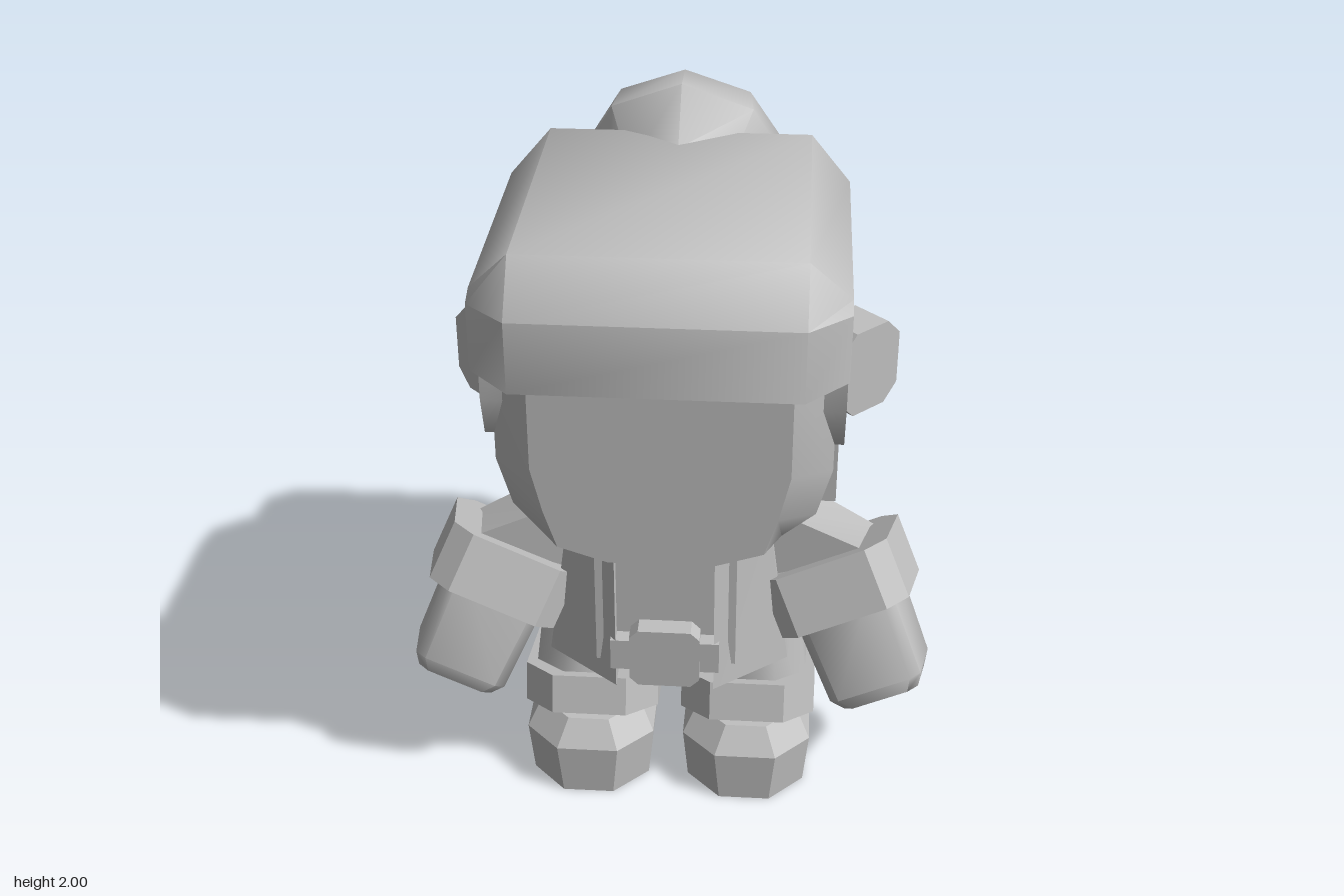
import * as THREE from 'three';
import { toCreasedNormals } from 'three/addons/utils/BufferGeometryUtils.js';

const V = (x, y, z) => new THREE.Vector3(x, y, z);
const grey = new THREE.MeshStandardMaterial({ color: 0xc0c0c0 });
grey.name = 'plain grey';

// Skin matching rings of points, cap both ends, turn the faces outward.
function loft(rings, outline, crease = 0.6) {
  const n = outline.length, tris = [];
  for (let i = 0; i + 1 < rings.length; i++) {
    const a = rings[i], b = rings[i + 1];
    for (let j = 0; j < n; j++) {
      const k = (j + 1) % n;
      tris.push([a[j], a[k], b[k]], [a[j], b[k], b[j]]);
    }
  }
  const flat = outline.map(([u, v]) => new THREE.Vector2(u, v));
  const sign = Math.sign(THREE.ShapeUtils.area(flat));
  const first = rings[0], last = rings[rings.length - 1];
  for (const f of THREE.ShapeUtils.triangulateShape(flat, [])) {
    const same = Math.sign(THREE.ShapeUtils.area(f.map((i) => flat[i]))) === sign;
    const [p, q, r] = same ? f : [f[0], f[2], f[1]];
    tris.push([last[p], last[q], last[r]], [first[p], first[r], first[q]]);
  }
  const volume = tris.reduce((s, [a, b, c]) => s + a.dot(V(0, 0, 0).crossVectors(b, c)), 0);
  const points = tris.flatMap(([a, b, c]) => (volume > 0 ? [a, b, c] : [a, c, b]));
  return toCreasedNormals(new THREE.BufferGeometry().setFromPoints(points), crease);
}

// Rectangle with cut corners, half sizes a and b, cut c.
const oct = (a, b, c) => [
  [a, -b + c], [a, b - c], [a - c, b], [-a + c, b],
  [-a, b - c], [-a, -b + c], [-a + c, -b], [a - c, -b],
];

// Sections [outline, level] placed in space by a rule.
function sections(list, place, crease) {
  return loft(list.map(([o, at]) => o.map(([u, v]) => place(u, v, at))), list[0][0], crease);
}

const mirrorOutline = (half) => [...half, ...half.map(([x, y]) => [-x, y]).reverse()];

export function createModel() {
  const model = new THREE.Group();
  model.name = 'figure';
  const add = (name, geometry) => {
    const mesh = new THREE.Mesh(geometry, grey);
    mesh.name = name;
    model.add(mesh);
  };

  // Head, widening behind the flat face
  const face = mirrorOutline([[0.34, 1.6], [0.34, 1.25], [0.31, 1.12], [0.275, 1.01], [0.14, 0.965]]);
  const skull = mirrorOutline([[0.45, 1.6], [0.45, 1.2], [0.41, 1.06], [0.32, 0.985], [0.14, 0.965]]);
  add('head', sections([[face, 0.6], [skull, 0.47], [skull, 0]], (x, y, z) => V(x, y, z), 0.7));

  // Hair: side profile (z, y), with a smaller one on the outer sides
  const hairInner = [
    [0.735, 1.55], [0.735, 1.745], [0.625, 1.875], [-0.2, 1.875], [-0.33, 1.74], [-0.46, 1.28], [-0.32, 0.82],
    [0.08, 0.85], [0.08, 1.19], [0.15, 1.22], [0.31, 1.22], [0.47, 1.28], [0.51, 1.4], [0.51, 1.55],
  ];
  const hairOuter = [
    [0.62, 1.55], [0.62, 1.735], [0.57, 1.755], [-0.16, 1.755], [-0.24, 1.69], [-0.36, 1.28], [-0.27, 0.83],
    ...hairInner.slice(7),
  ];
  add('hair', sections(
    [[hairOuter, -0.475], [hairInner, -0.365], [hairInner, 0.365], [hairOuter, 0.475]],
    (z, y, x) => V(x, y, z), 0.9));

  // Long rounded bun leaning on the back of the head
  const bunOutline = (w, h) => mirrorOutline([[0.69, 0.84], [1, 0.52], [1, -0.52], [0.69, -0.84]])
    .concat([[0, 1]]).map(([x, y]) => [x * w, y * h]);
  const bunRing = (w, h) => {
    const o = bunOutline(w, h);
    o.splice(4, 0, [0, -h]);
    return o;
  };
  add('bun', sections(
    [[bunRing(0.2, 0.46), -0.18], [bunRing(0.29, 0.535), 0], [bunRing(0.27, 0.475), 0.135], [bunRing(0.18, 0.37), 0.2]],
    (x, v, d) => V(x, 1.4975 + 0.94 * v + 0.34 * d, -0.418 + 0.34 * v - 0.94 * d), 0.85));

  // Torso and coat back
  const box = (name, w, h, d, x, y, z) => add(name, new THREE.BoxGeometry(w, h, d).translate(x, y, z));
  box('torso', 0.4, 0.47, 0.42, 0, 0.735, 0.21);
  box('coatBack', 0.7, 0.38, 0.3, 0, 0.69, -0.07);
  box('beltStrap', 0.31, 0.1, 0.1, 0, 0.55, 0.415);
  add('beltBuckle', sections([[oct(0.1, 0.095, 0.025), 0.38], [oct(0.1, 0.095, 0.025), 0.478]],
    (x, y, z) => V(x, y + 0.55, z), 0.3));

  for (const s of [1, -1]) {
    const side = s > 0 ? 'left' : 'right';

    // Ear cover, turned halfway forward
    const ear = oct(0.112, 0.13, 0.05);
    add(side + 'EarCover', sections([[ear, -0.13], [ear, 0]],
      (u, v, d) => V(s * (0.553 + 0.707 * (u + d)), 1.29 + v, 0.07 + 0.707 * (d - u)), 0.3));

    // Coat front, flaring toward the hem
    const hem = [[0.14, 0.465], [0.35, 0.3], [0.35, -0.04], [0.14, -0.04]];
    const collar = [[0.14, 0.465], [0.28, 0.3], [0.28, -0.04], [0.14, -0.04]];
    add(side + 'CoatFront', sections([[hem, 0.44], [collar, 0.965]], (x, z, y) => V(s * x, y, z), 0.4));

    // Arm: everything hangs in a frame tilted outward and forward
    const tilt = new THREE.Euler(-0.384, 0, 0.436, 'ZXY');
    const arm = (x, z, y) => {
      const p = V(x, y, z).applyEuler(tilt).add(V(0.5, 0.65, 0.17));
      p.x *= s;
      return p;
    };
    const cuff = oct(0.195, 0.215, 0.06);
    add(side + 'SleeveCuff', sections([[cuff, -0.09], [cuff, 0.09]], arm, 0.3));
    add(side + 'Hand', sections(
      [[oct(0.15, 0.16, 0.03), 0], [oct(0.14, 0.15, 0.03), -0.32], [oct(0.115, 0.125, 0.03), -0.36]], arm, 0.9));
    const sleeve = [[-0.14, -0.15], [0.14, -0.15], [0.14, 0.15], [-0.14, 0.15]];
    const shoulder = [V(s * 0.2, 0.68, 0.03), V(s * 0.27, 0.94, 0.03), V(s * 0.27, 0.94, 0.265), V(s * 0.2, 0.68, 0.265)];
    add(side + 'Sleeve', loft([sleeve.map(([x, z]) => arm(x, z, 0.06)), shoulder], sleeve, 0.4));

    // Leg and boot
    const foot = (x, z, y) => V(s * (0.235 + x), y, z);
    add(side + 'Leg', sections([[oct(0.165, 0.23, 0.09), 0.2], [oct(0.125, 0.2, 0.08), 0.55]],
      (x, z, y) => foot(x + 0.02, z + 0.1 - (y - 0.2) * 0.09, y), 0.9));
    add(side + 'Boot', sections(
      [[oct(0.175, 0.27, 0.1), 0], [oct(0.19, 0.285, 0.1), 0.165], [oct(0.15, 0.235, 0.09), 0.24]],
      (x, z, y) => foot(x, z + 0.16 - y * 0.05, y), 0.5));
    const band = oct(0.2, 0.28, 0.09);
    const lean = new THREE.Euler(-0.26, 0, 0);
    add(side + 'BootCuff', sections([[band, -0.06], [band, 0.06]], (x, z, y) => {
      const p = V(x, y, z).applyEuler(lean);
      return foot(p.x, p.z + 0.08, p.y + 0.23);
    }, 0.3));
  }
  return model;
}
